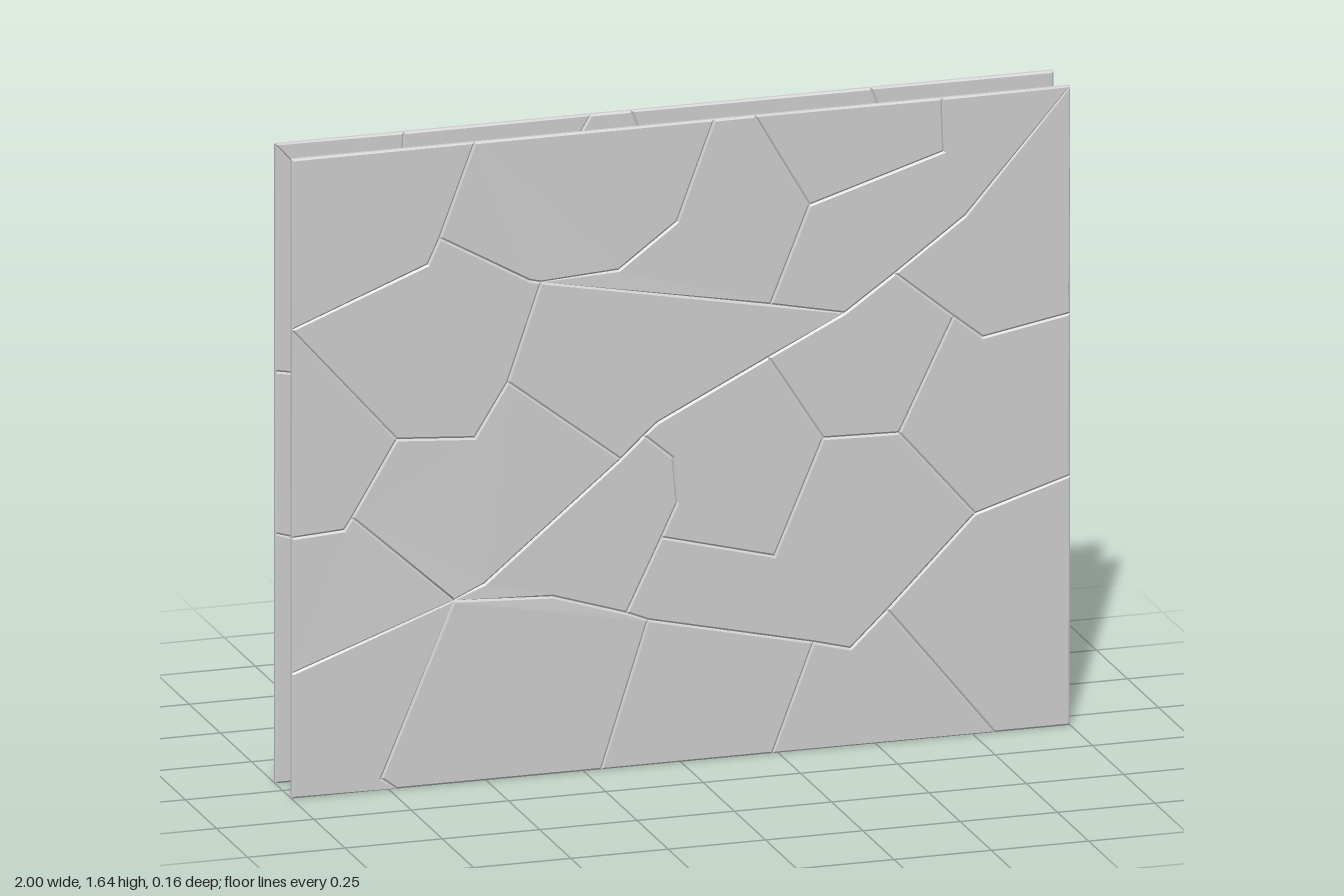
import * as THREE from 'three';

const H = 1.637;          // panel height
const MID = 0.066;        // distance of each panel's middle from the centre
const THICK = 0.016, BEVEL = 0.004;

// Crack junctions shared by neighbouring plates
const P = {
  TL: [-1, H], TR: [1, H], BL: [-1, 0], BR: [1, 0],
  a: [-0.53, H], b: [0.085, H], c: [0.19, H], d: [0.67, H],
  e: [0.675, 1.5], f: [0.33, 1.395], g: [0.23, 1.15], h: [0.42, 1.11],
  i: [-0.01, 1.385], j: [-0.16, 1.275], k: [-0.39, 1.27], k2: [-0.36, 1.263],
  l: [-0.62, 1.4], m: [-0.65, 1.335], n: [-1, 1.2],
  o: [0.73, 1.33], p: [0.55, 1.2], q: [0.70, 1.075], r: [0.775, 1.015], s: [1, 1.055],
  t: [0.225, 1.015], u: [-0.06, 0.875], U: [-0.095, 0.845], v: [-0.155, 0.79],
  w: [-0.505, 0.505], x: [-0.585, 0.47], y: [-0.445, 1.015], z: [-0.53, 0.88],
  A: [-0.73, 0.895], B: [-0.845, 0.705], C: [-0.865, 0.675], D: [-1, 0.667], E: [-1, 0.32],
  F: [-0.77, 0.03], G: [-0.73, 0], H: [-0.33, 0.455], I: [-0.14, 0.395], I2: [-0.085, 0.372],
  J: [0.34, 0.275], K: [0.435, 0.25], L: [0.53, 0.34], M: [0.755, 0.565], N: [1, 0.64],
  O: [0.56, 0.79], Q: [0.365, 0.795], R: [0.24, 0.505], S: [-0.05, 0.58],
  T: [-0.01, 0.665], T2: [-0.02, 0.78], V: [-0.205, 0], W: [0.235, 0], X: [0.805, 0],
};

// Each plate is a loop of junctions
const PLATES = [
  'TL n m l a', 'a l k k2 j i b', 'b i j k2 g f c', 'c f e d', 'd e f g h p o TR',
  'k2 y v U u t h g', 'n A z y k2 k l m', 'n D C B A', 'A B x w v y z', 'D E x B C',
  'E BL G F x', 'x F G V I2 I H', 'I2 V W J', 'J W X L K', 'L X BR N M',
  'M N s r q O', 'TR o p q r s', 'p h t Q O q', 't u U T2 T S R Q',
  'U v w x H I S T T2', 'S I I2 J K L M O Q R',
];

// Slight swelling where cracks meet sharply: [x, y, radius, amount]
const SWELL = [[-0.57, 0.48, 0.12, 0.8], [-0.375, 1.267, 0.06, 0.35]];

function plateGeometry(loop) {
  const shape = new THREE.Shape(loop.split(' ').map((k) => new THREE.Vector2(...P[k])));
  const geo = new THREE.ExtrudeGeometry(shape, {
    depth: THICK - 2 * BEVEL, bevelEnabled: true, bevelThickness: BEVEL,
    bevelSize: 0.005, bevelOffset: -0.005, bevelSegments: 1,
  });
  geo.translate(0, 0, BEVEL - THICK / 2);
  const pos = geo.attributes.position;
  for (let n = 0; n < pos.count; n++) {
    let scale = 1;
    for (const [x, y, radius, amount] of SWELL) {
      const dist = Math.hypot(pos.getX(n) - x, pos.getY(n) - y);
      scale += amount * Math.max(0, 1 - dist / radius);
    }
    pos.setZ(n, pos.getZ(n) * scale);
  }
  geo.computeVertexNormals();
  return geo;
}

export function createModel() {
  const model = new THREE.Group();
  model.name = 'crackedStonePanels';
  const material = new THREE.MeshStandardMaterial({ color: 0xcccccc });
  const geometries = PLATES.map(plateGeometry);

  // The back panel is the front one turned half way round
  for (const [name, turn] of [['frontPanel', 0], ['backPanel', Math.PI]]) {
    const panel = new THREE.Group();
    panel.name = name;
    panel.rotation.y = turn;
    geometries.forEach((geo, n) => {
      const plate = new THREE.Mesh(geo, material);
      plate.name = `stonePlate${n + 1}`;
      plate.position.z = MID;
      panel.add(plate);
    });
    model.add(panel);
  }
  return model;
}
